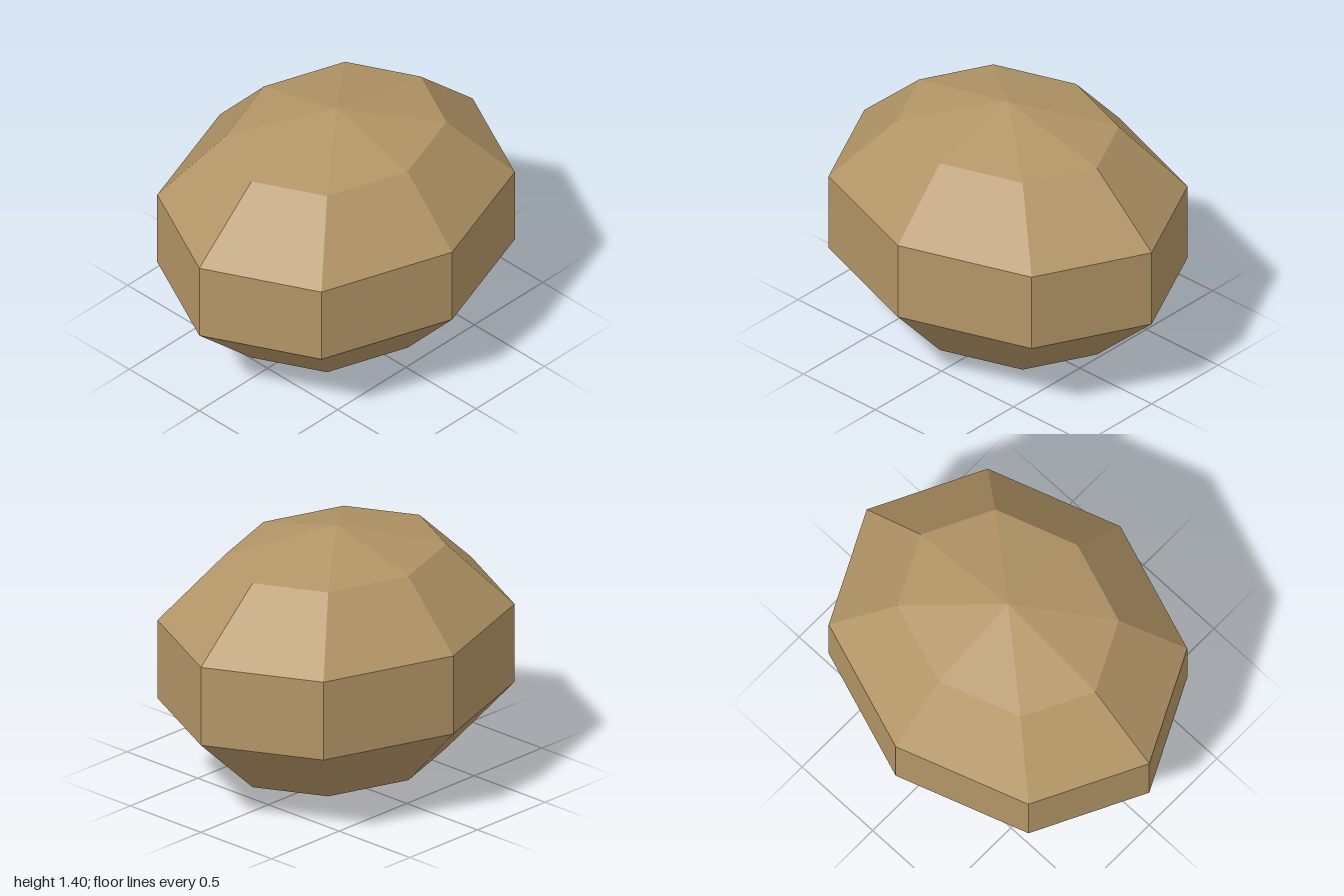
import * as THREE from 'three';

export function createModel() {
  const group = new THREE.Group();
  group.name = 'boulder';

  const sandstone = new THREE.MeshStandardMaterial({ color: 0xb39566, flatShading: true });
  sandstone.name = 'sandstone';

  // Faceted ellipsoid: eight sides, five bands; the widest rings sit 72 degrees from the poles
  const ringScale = Math.sin(Math.PI * 0.4);
  const halfHeight = 0.7;
  const sphere = new THREE.SphereGeometry(1, 8, 5);
  sphere.scale(1 / ringScale, halfHeight, 0.83 / ringScale);
  sphere.translate(0, halfHeight, 0);

  // Separate the faces so each facet has its own normal
  const facets = sphere.toNonIndexed();
  facets.computeVertexNormals();

  const stone = new THREE.Mesh(facets, sandstone);
  stone.name = 'stone';
  group.add(stone);
  return group;
}
